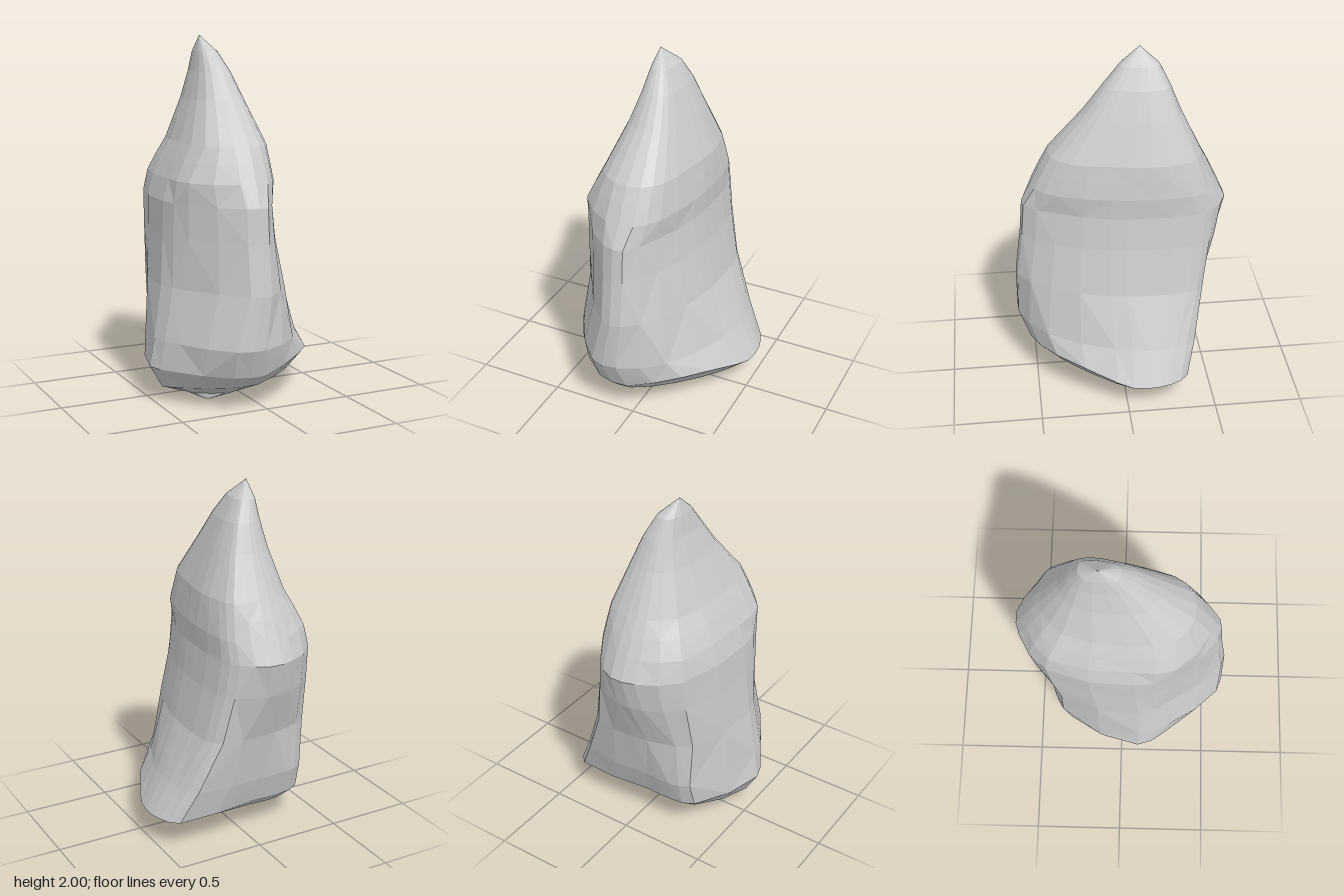
import * as THREE from 'three';

// Cross-sections as x, z pairs: from the back, round by +x, the front and -x
const foot = [-.05, -.35, .42, -.345, .49, -.24, .51, -.1, .47, .06, .26, .39,
  -.02, .53, -.2, .51, -.44, .26, -.52, .1, -.35, -.31, -.22, -.35];
const waist = [-.04, -.46, .21, -.45, .27, -.36, .28, -.1, .26, .08, .15, .41,
  -.02, .59, -.14, .58, -.37, .28, -.45, .1, -.36, -.35, -.2, -.43];
const bulge = [0, -.595, .14, -.505, .19, -.4, .2, -.12, .18, .08, .09, .36,
  -.02, .54, -.14, .53, -.365, .285, -.42, .07, -.34, -.42, -.14, -.575];
const brow = [0, -.54, .145, -.465, .19, -.38, .205, -.15, .185, .06, .11, .35,
  .01, .475, -.15, .48, -.365, .29, -.385, .06, -.32, -.4, -.14, -.525];
const shoulder = [-.01, -.45, .125, -.41, .165, -.32, .185, -.16, .15, .08, .1, .28,
  .01, .38, -.14, .385, -.265, .285, -.3, .03, -.24, -.32, -.12, -.43];

// Blend two sections
const blend = (a, b, t) => a.map((v, i) => THREE.MathUtils.lerp(v, b[i], t));

// Rescale a section to fill the given x and z range
function fit(section, x0, x1, z0, z1) {
  const xs = section.filter((_, i) => i % 2 === 0);
  const zs = section.filter((_, i) => i % 2 === 1);
  const map = (v, all, a, b) =>
    THREE.MathUtils.mapLinear(v, Math.min(...all), Math.max(...all), a, b);
  return section.map((v, i) => (i % 2 ? map(v, zs, z0, z1) : map(v, xs, x0, x1)));
}

// Shrink a section towards the middle of the underside
const inset = (section, k) => section.map((v, i) => {
  const c = i % 2 ? 0.1 : -0.1;
  return c + (v - c) * k;
});

// Turn a section into a closed ring with one rounded point between each pair
function ring(section, height) {
  const pts = [];
  for (let i = 0; i < section.length; i += 2) {
    pts.push(new THREE.Vector3(section[i], 0, section[i + 1]));
  }
  const curve = new THREE.CatmullRomCurve3(pts, true, 'centripetal');
  const count = pts.length * 2;
  return Array.from({ length: count }, (_, i) => {
    const p = curve.getPoint(i / count);
    p.y = height(p);
    return p;
  });
}

// Skin the rings from bottom to top and close both ends to a point
function loft(rings, bottom, top) {
  const pos = [];
  const tri = (...pts) => pts.forEach((p) => pos.push(p.x, p.y, p.z));
  const n = rings[0].length;
  const last = rings[rings.length - 1];
  for (let j = 0; j < n; j++) {
    const k = (j + 1) % n;
    tri(bottom, rings[0][j], rings[0][k]);
    for (let i = 0; i < rings.length - 1; i++) {
      const lo = rings[i], hi = rings[i + 1];
      if ((i + j) % 2) {
        tri(lo[j], hi[j], hi[k]);
        tri(lo[j], hi[k], lo[k]);
      } else {
        tri(lo[j], hi[j], lo[k]);
        tri(hi[j], hi[k], lo[k]);
      }
    }
    tri(last[j], top, last[k]);
  }
  const geo = new THREE.BufferGeometry();
  geo.setAttribute('position', new THREE.Float32BufferAttribute(pos, 3));
  geo.computeVertexNormals();
  return geo;
}

export function createModel() {
  const group = new THREE.Group();
  group.name = 'rock';
  const flat = (y) => () => y;
  // the underside is arched between the foot and the front
  const arch = (p) => Math.max(0, p.x) * Math.max(0, p.z);

  const rings = [
    // bowl-shaped underside, rising towards the flared foot
    ring(inset(foot, 0.45), (p) => 0.05 + 0.1 * p.x + 0.07 * Math.abs(p.z - 0.1)),
    ring(inset(foot, 0.83), (p) =>
      0.085 + 0.02 * p.x + 0.13 * Math.abs(p.z - 0.1) + 0.6 * arch(p)),
    // flared foot
    ring(foot, (p) => 0.2 - 0.06 * Math.max(0, p.x) + 0.7 * arch(p)),
    ring(fit(foot, -0.495, 0.41, -0.4, 0.595), flat(0.36)),
    // body, leaning out to the overhang at the back
    ring(waist, flat(0.65)),
    ring(blend(waist, bulge, 0.7), flat(0.92)),
    ring(bulge, flat(1.11)),
    ring(brow, flat(1.23)),
    // shoulder and peak
    ring(blend(brow, shoulder, 0.5), flat(1.33)),
    ring(shoulder, flat(1.42)),
    ring(fit(shoulder, -0.21, 0.1, -0.34, 0.19), flat(1.65)),
    ring(fit(shoulder, -0.165, 0.04, -0.28, 0.08), flat(1.8)),
    ring(fit(shoulder, -0.143, -0.02, -0.225, -0.01), flat(1.91)),
  ];
  const boulder = new THREE.Mesh(
    loft(rings, new THREE.Vector3(-0.22, 0, 0.21), new THREE.Vector3(-0.115, 2, -0.12)),
    new THREE.MeshStandardMaterial({ color: 0xcccccc, flatShading: true })
  );
  boulder.name = 'boulder';
  group.add(boulder);
  return group;
}
